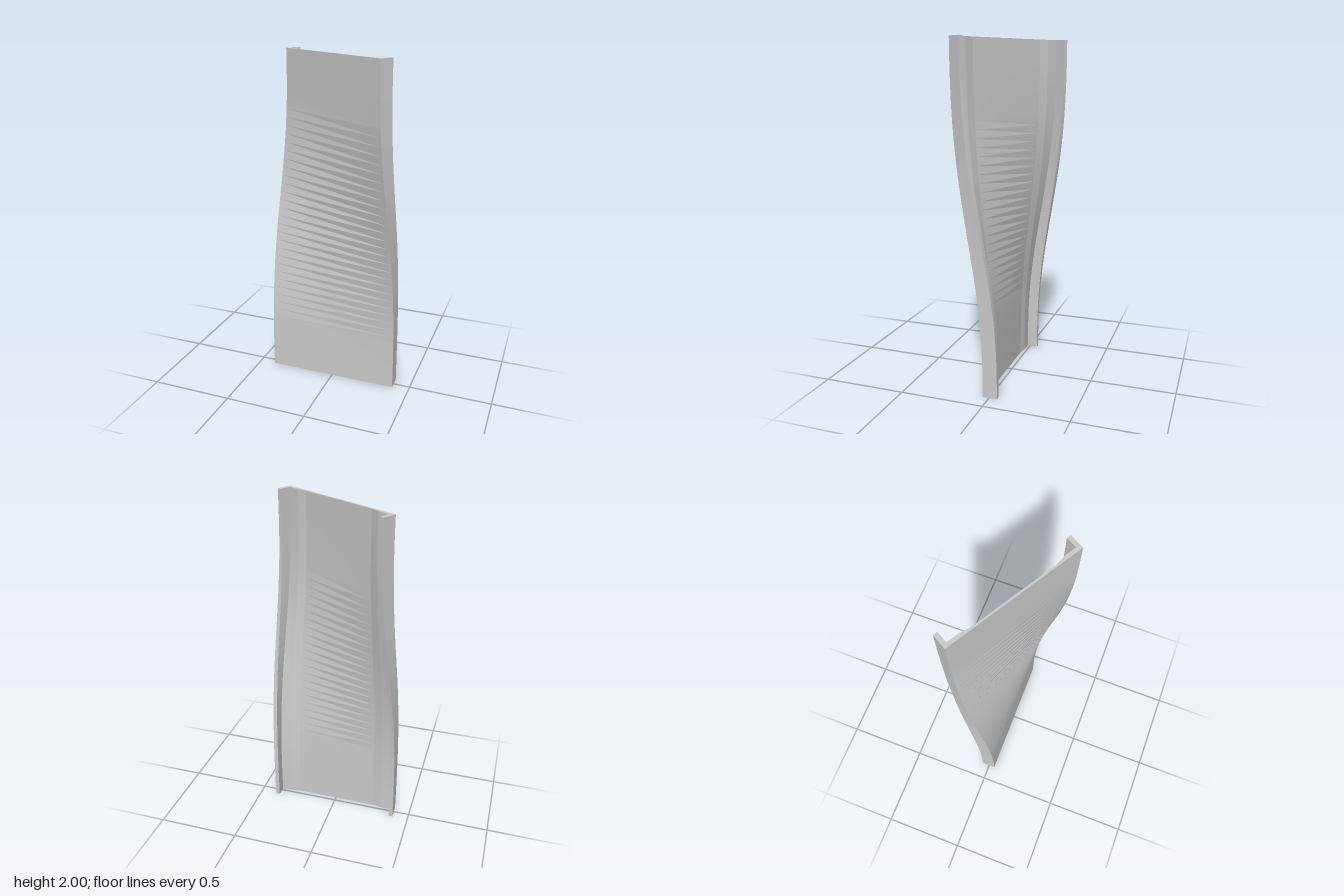
import * as THREE from 'three';
import { toCreasedNormals } from 'three/addons/utils/BufferGeometryUtils.js';

const HEIGHT = 2, STEPS = 40, TWIST = Math.PI / 6;
const AXIS_X = -0.002, AXIS_Z = 0.019; // vertical axis of the twist

// Right half of the channel section as [x, z], from the front face to the inner web
const HALF = [
  [0.4, 0.038], [0.4, -0.048], [0.375, -0.048], [0.375, 0.016],
  [0.305, 0.017], [0.25, 0.027],
];

// Turns every level about the axis, easing in and out along the height
function twist(geometry) {
  const p = geometry.attributes.position;
  for (let i = 0; i < p.count; i++) {
    const u = THREE.MathUtils.clamp(p.getY(i) / HEIGHT, 0, 1);
    const a = TWIST * THREE.MathUtils.smootherstep(u, 0, 1);
    const x = p.getX(i), z = p.getZ(i) - AXIS_Z;
    p.setX(i, x * Math.cos(a) - z * Math.sin(a) + AXIS_X);
    p.setZ(i, x * Math.sin(a) + z * Math.cos(a) + AXIS_Z);
  }
  return geometry;
}

export function createModel() {
  const group = new THREE.Group();
  group.name = 'twistedPanel';

  // Mirrored section: thin web, thickened shoulders and two rear flanges
  const mirrored = HALF.map(([x, z]) => [-x, z]).reverse();
  const section = new THREE.Shape(
    [...HALF, ...mirrored].map(([x, z]) => new THREE.Vector2(x, -z))
  );
  const geometry = new THREE.ExtrudeGeometry(section, {
    depth: HEIGHT, steps: STEPS, bevelEnabled: false,
  });
  geometry.rotateX(-Math.PI / 2);

  const panel = new THREE.Mesh(
    toCreasedNormals(twist(geometry), 0.12),
    new THREE.MeshStandardMaterial({ color: 0xcccccc })
  );
  panel.name = 'flangedPanel';
  group.add(panel);
  return group;
}
